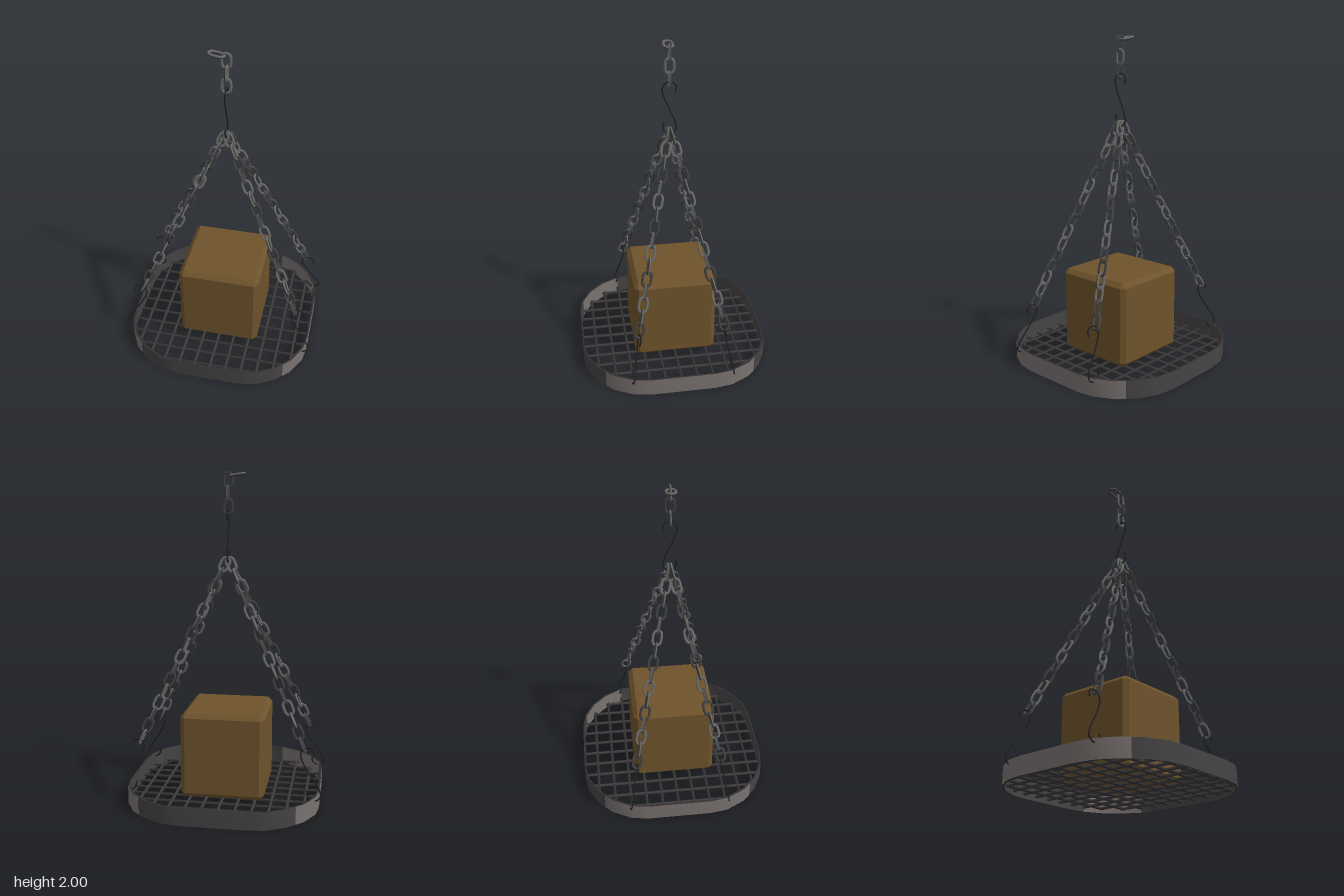
import * as THREE from 'three';
import { toCreasedNormals } from 'three/addons/utils/BufferGeometryUtils.js';
import { ConvexGeometry } from 'three/addons/geometries/ConvexGeometry.js';

const mat = (name, color) => {
  const m = new THREE.MeshStandardMaterial({ color });
  m.name = name;
  return m;
};

export function createModel() {
  const model = new THREE.Group();
  model.name = 'hangingPlatform';
  const rimDark = mat('dark rim steel', 0x454344);
  const rimLight = mat('worn rim steel', 0x78716f);
  const rimEdge = mat('rim edge steel', 0x323031);
  const barSteel = mat('grate steel', 0x3d3a3b);
  const crossSteel = mat('cross bar steel', 0x363233);
  const chainLight = mat('bright chain steel', 0x6a6969);
  const chainDark = mat('dark chain steel', 0x403f3f);
  const hookSteel = mat('hook steel', 0x202020);
  const wood = mat('brown crate', 0x6e532b);

  const add = (name, geometry, material, parent = model) => {
    const mesh = new THREE.Mesh(geometry, material);
    mesh.name = name;
    parent.add(mesh);
    return mesh;
  };
  const group = (name) => {
    const g = new THREE.Group();
    g.name = name;
    model.add(g);
    return g;
  };

  // Rim: four thin wall panels meeting at the middle of each rounded corner
  const half = [[0.465, 0.465], [0.42, 0.51], [0.305, 0.57], [0.195, 0.587]];
  const outline = [...half, ...half.slice().reverse().map(([x, y]) => [-x, y])];
  const corner = [[0.57, 0.305], [0.51, 0.42], [0.42, 0.51], [0.305, 0.57]];
  const wall = (line, inside, outside) => {
    const ring = (k) => line.map(([x, y]) => new THREE.Vector2(x * k, y * k));
    const shape = new THREE.Shape([...ring(outside), ...ring(inside).reverse()]);
    const geo = new THREE.ExtrudeGeometry(shape, { depth: 0.11, bevelEnabled: false });
    return toCreasedNormals(geo.rotateX(-Math.PI / 2), 0.6);
  };
  const panel = wall(outline, 0.985, 1);
  const skin = wall(outline, 0.9995, 1.003);
  const patch = wall(corner, 0.982, 0.9855);
  const rim = group('rim');
  for (let i = 0; i < 4; i++) {
    const turn = i * Math.PI / 2;
    add('rimPanel', panel, [rimEdge, rimDark], rim).rotation.y = turn;
    // Worn outer face on the two sides, worn inner face in two corners
    if (i % 2) add('wornSideFace', skin, [rimEdge, rimLight], rim).rotation.y = turn;
    else add('wornInnerCorner', patch, [rimEdge, rimLight], rim).rotation.y = turn;
  }

  // Grate: crossing round bars cut to the rim outline
  const grate = group('grate');
  const reach = [0.58, 0.58, 0.575, 0.562, 0.511, 0.419];
  for (let i = -5; i <= 5; i++) {
    const geo = new THREE.CylinderGeometry(0.0095, 0.0095, 2 * reach[Math.abs(i)], 8);
    const along = add('lengthwiseBar', geo, barSteel, grate);
    along.position.set(i * 0.1, 0.028, 0);
    along.rotation.x = Math.PI / 2;
    const across = add('crosswiseBar', geo, crossSteel, grate);
    across.position.set(0, 0.028, i * 0.1);
    across.rotation.z = Math.PI / 2;
  }

  // Crate: box with every edge chamfered
  const w = 0.256, h = 0.264, c = 0.027, corners = [];
  for (const x of [-1, 1]) for (const y of [-1, 1]) for (const z of [-1, 1]) {
    corners.push(new THREE.Vector3(x * w, y * (h - c), z * (w - c)),
      new THREE.Vector3(x * (w - c), y * h, z * (w - c)),
      new THREE.Vector3(x * (w - c), y * (h - c), z * w));
  }
  add('crate', new ConvexGeometry(corners), wood).position.y = 0.302;

  // Chain link: oval ring, long along y, wide along x, bright on its +z half
  const linkPoints = [];
  for (let i = 0; i < 16; i++) {
    const a = (i + 0.5) / 16 * Math.PI * 2;
    linkPoints.push(new THREE.Vector3(0.025 * Math.cos(a), 0.025 * Math.sin(a) + 0.0195 * Math.sign(Math.sin(a)), 0));
  }
  const linkGeo = new THREE.TubeGeometry(new THREE.CatmullRomCurve3(linkPoints, true), 28, 0.008, 8, true);
  const pos = linkGeo.attributes.position, faces = linkGeo.index;
  for (let i = 0; i < faces.count; i += 3) {
    const z = pos.getZ(faces.getX(i)) + pos.getZ(faces.getX(i + 1)) + pos.getZ(faces.getX(i + 2));
    const slot = z > 0 ? 0 : 1, last = linkGeo.groups.at(-1);
    if (last && last.materialIndex === slot) last.count += 3;
    else linkGeo.addGroup(i, 3, slot);
  }
  // "face" is the direction the bright half looks towards
  const addLink = (parent, position, dir, face) => {
    const y = dir.clone().normalize();
    const x = new THREE.Vector3().crossVectors(y, face).normalize();
    const z = new THREE.Vector3().crossVectors(x, y);
    const link = add('chainLink', linkGeo, [chainLight, chainDark], parent);
    link.quaternion.setFromRotationMatrix(new THREE.Matrix4().makeBasis(x, y, z));
    link.position.copy(position);
  };
  const X = new THREE.Vector3(1, 0, 0), Y = new THREE.Vector3(0, 1, 0), Z = new THREE.Vector3(0, 0, 1);
  const quarterTurns = [Z, X, Z.clone().negate(), X.clone().negate()];

  // Top chain with one link lying out sideways
  const topChain = group('topChain');
  for (let i = 0; i < 3; i++) addLink(topChain, new THREE.Vector3(0, 1.947 - i * 0.077, 0), Y, quarterTurns[i % 2]);
  addLink(topChain, new THREE.Vector3(-0.055, 1.98, 0), new THREE.Vector3(-1, 0.16, 0), Y);

  // Hooks: bent wire along a smooth path
  const addHook = (name, points) => add(name,
    new THREE.TubeGeometry(new THREE.CatmullRomCurve3(points), 60, 0.0045, 6), hookSteel);

  addHook('mainHook', [
    [-0.033, 1.715], [-0.04, 1.745], [-0.025, 1.768], [0.005, 1.774], [0.032, 1.76], [0.042, 1.73],
    [0.034, 1.69], [0, 1.61], [-0.034, 1.53], [-0.04, 1.497], [-0.028, 1.468], [0, 1.459],
    [0.03, 1.475], [0.038, 1.505], [0.033, 1.53],
  ].map(([z, y]) => new THREE.Vector3(0, y, z)));

  const sideHook = [
    [0.552, 0.345], [0.555, 0.37], [0.54, 0.388], [0.515, 0.393], [0.488, 0.383], [0.476, 0.357],
    [0.482, 0.325], [0.515, 0.265], [0.56, 0.2], [0.59, 0.155], [0.6, 0.12], [0.587, 0.096],
    [0.56, 0.088], [0.532, 0.1], [0.519, 0.125], [0.52, 0.145],
  ];

  // Four slanting chains, each ending in a hook that grips the rim
  for (const sx of [1, -1]) {
    for (const sz of [1, -1]) {
      const label = (sz > 0 ? 'front' : 'back') + (sx > 0 ? 'Left' : 'Right');
      const chain = group(label + 'Chain');
      const start = new THREE.Vector3(sx * 0.02, 1.447, sz * 0.015);
      const end = new THREE.Vector3(sx * 0.488, 0.412, sz * 0.256);
      const dir = end.clone().sub(start);
      for (let i = 0; i < 16; i++) {
        const face = quarterTurns[i % 4].clone().multiply(new THREE.Vector3(sx, 1, sz));
        addLink(chain, start.clone().lerp(end, i / 15), dir, face);
      }
      addHook(label + 'Hook', sideHook.map(([x, y]) =>
        new THREE.Vector3(sx * x, y, sz * (0.254 + (0.39 - y) * 0.19))));
    }
  }
  return model;
}
